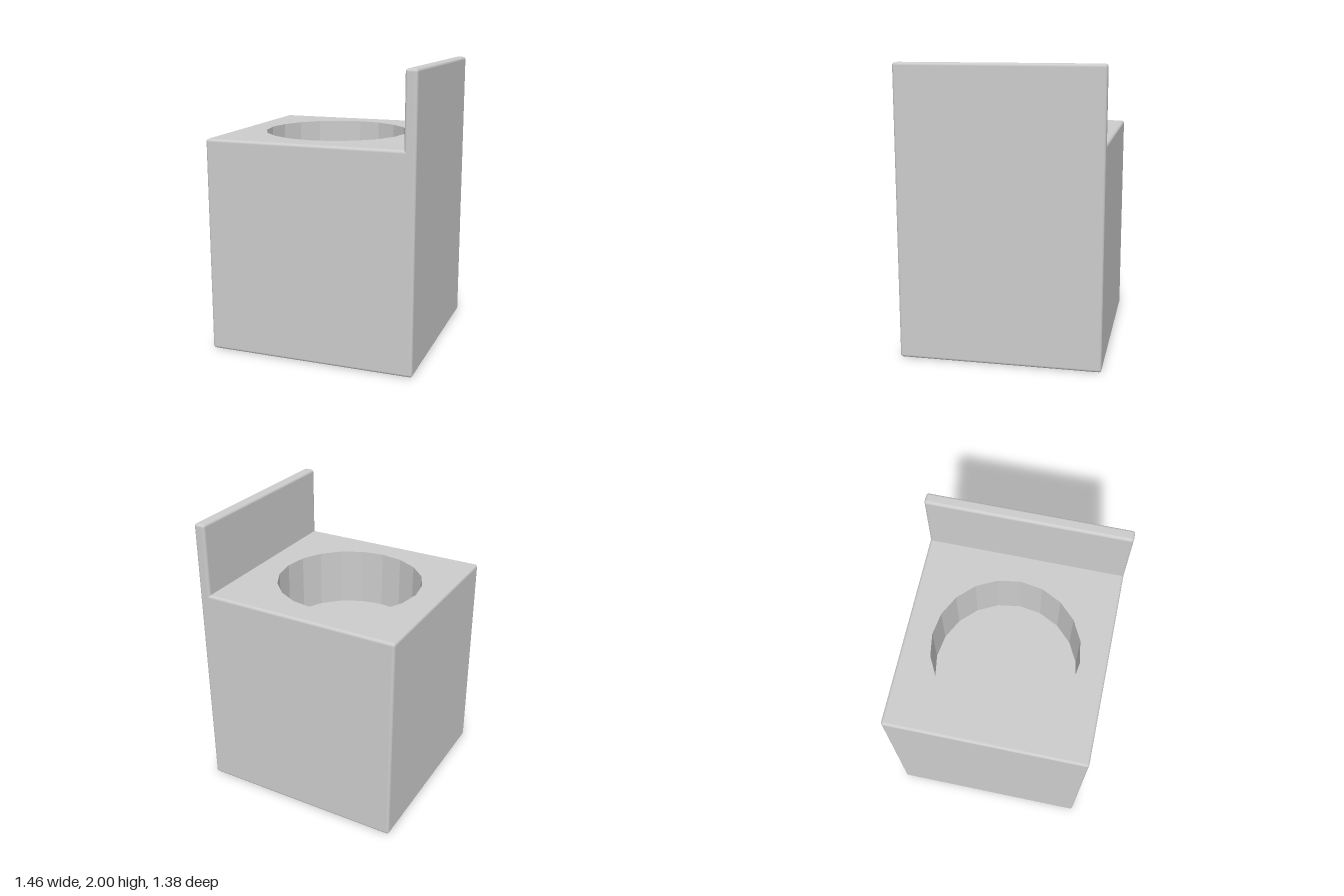
import * as THREE from 'three';
import { RoundedBoxGeometry } from 'three/addons/geometries/RoundedBoxGeometry.js';

const R = 0.02;                            // edge rounding
const TOP = 1.5, DEPTH = 1.38;             // body height and z size
const X0 = -0.73, X1 = 0.69;               // body extent, right end sunk into the panel
const HOLE = { x: -0.045, r: 0.507, depth: 0.41, sides: 20 };

// Drops the flat top of a geometry so it can be replaced by a pierced one
function withoutTop(source, top) {
  const geo = source.index ? source.toNonIndexed() : source;
  const p = geo.attributes.position, n = geo.attributes.normal;
  const pos = [], nor = [];
  for (let i = 0; i < p.count; i += 3) {
    if ([0, 1, 2].every(k => p.getY(i + k) > top - 1e-4)) continue;
    for (let k = i; k < i + 3; k++) {
      pos.push(p.getX(k), p.getY(k), p.getZ(k));
      nor.push(n.getX(k), n.getY(k), n.getZ(k));
    }
  }
  const out = new THREE.BufferGeometry();
  out.setAttribute('position', new THREE.Float32BufferAttribute(pos, 3));
  out.setAttribute('normal', new THREE.Float32BufferAttribute(nor, 3));
  return out;
}

export function createModel() {
  const model = new THREE.Group();
  const grey = new THREE.MeshStandardMaterial({ color: 0xcccccc });
  const inner = new THREE.MeshStandardMaterial({ color: 0xcccccc, flatShading: true, side: THREE.BackSide });

  const add = (name, geometry, material = grey) => {
    const mesh = new THREE.Mesh(geometry, material);
    mesh.name = name;
    model.add(mesh);
    return mesh;
  };

  // Body: rounded block, open on top
  const box = new RoundedBoxGeometry(X1 - X0, TOP, DEPTH, 3, R);
  box.translate((X0 + X1) / 2, TOP / 2, 0);
  add('body', withoutTop(box, TOP));

  // Top face with the round opening
  const hx0 = X0 + R, hx1 = X1 - R, hz = DEPTH / 2 - R;
  const face = new THREE.Shape([
    new THREE.Vector2(hx0, -hz), new THREE.Vector2(hx1, -hz),
    new THREE.Vector2(hx1, hz), new THREE.Vector2(hx0, hz),
  ]);
  const rim = [];
  for (let i = 0; i < HOLE.sides; i++) {
    const a = -i / HOLE.sides * Math.PI * 2;
    rim.push(new THREE.Vector2(HOLE.x + HOLE.r * Math.cos(a), HOLE.r * Math.sin(a)));
  }
  face.holes.push(new THREE.Path(rim));
  add('topFace', new THREE.ShapeGeometry(face).rotateX(-Math.PI / 2).translate(0, TOP, 0));

  // Well: inward-facing wall and floor
  add('wellWall', new THREE.CylinderGeometry(HOLE.r, HOLE.r, HOLE.depth, HOLE.sides, 1, true), inner)
    .position.set(HOLE.x, TOP - HOLE.depth / 2, 0);
  add('wellFloor', new THREE.CircleGeometry(HOLE.r, HOLE.sides).rotateX(-Math.PI / 2))
    .position.set(HOLE.x, TOP - HOLE.depth, 0);

  // Upright panel along one side, full height
  add('sidePanel', new RoundedBoxGeometry(0.08, 2, DEPTH, 3, R)).position.set(0.69, 1, 0);

  return model;
}
